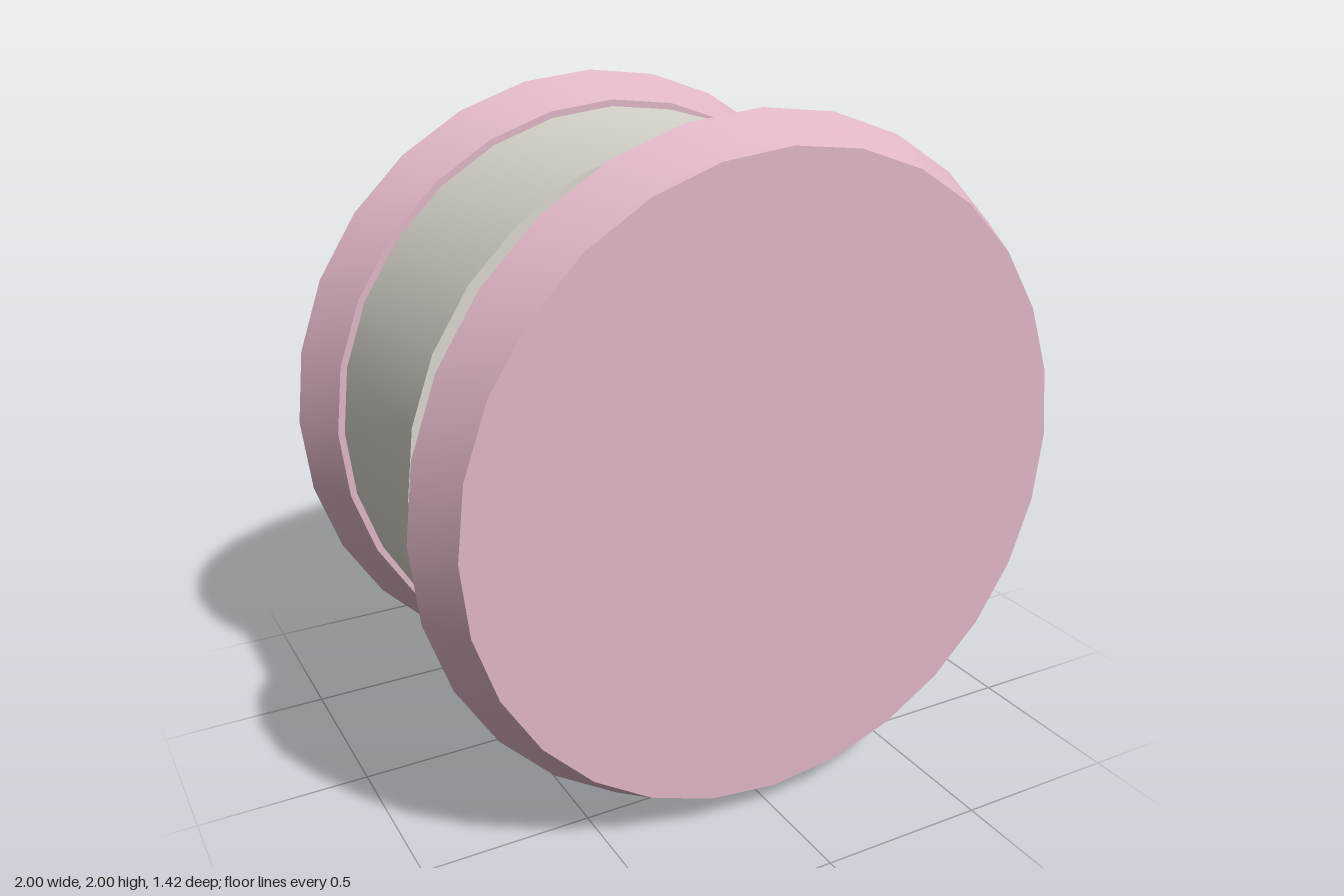
import * as THREE from 'three';
import { toCreasedNormals } from 'three/addons/utils/BufferGeometryUtils.js';

const SIDES = 28;

// Turned solid around the z axis; profile is [radius, z] from back to front.
function turned(name, profile, material) {
  const points = profile.map(([r, z]) => new THREE.Vector2(r, z));
  const geometry = new THREE.LatheGeometry(points, SIDES).rotateX(Math.PI / 2);
  const mesh = new THREE.Mesh(toCreasedNormals(geometry, 0.4), material);
  mesh.name = name;
  mesh.position.y = 1;
  return mesh;
}

export function createModel() {
  const pink = new THREE.MeshStandardMaterial({ color: 0xdfb5c5 });
  pink.name = 'dusty pink';
  const grey = new THREE.MeshStandardMaterial({ color: 0xd9d6cd });
  grey.name = 'warm grey';

  const model = new THREE.Group();
  model.name = 'spool';

  // Two identical flanges: shallow cone behind, wide bevel, flat front
  const flange = [[0, -0.21], [0.77, -0.17], [1, 0.055], [0.925, 0.21], [0, 0.21]];
  for (const [name, z] of [['frontFlange', 0.5], ['backFlange', -0.5]]) {
    const mesh = turned(name, flange, pink);
    mesh.position.z = z;
    model.add(mesh);
  }

  // Central drum
  model.add(turned('drum', [[0, -0.29], [0.905, -0.29], [0.905, 0.288], [0, 0.288]], grey));

  // Axle joining the front flange to the drum
  model.add(turned('axle', [[0, -0.4], [0.23, -0.4], [0.23, 0.4], [0, 0.4]], pink));

  return model;
}
